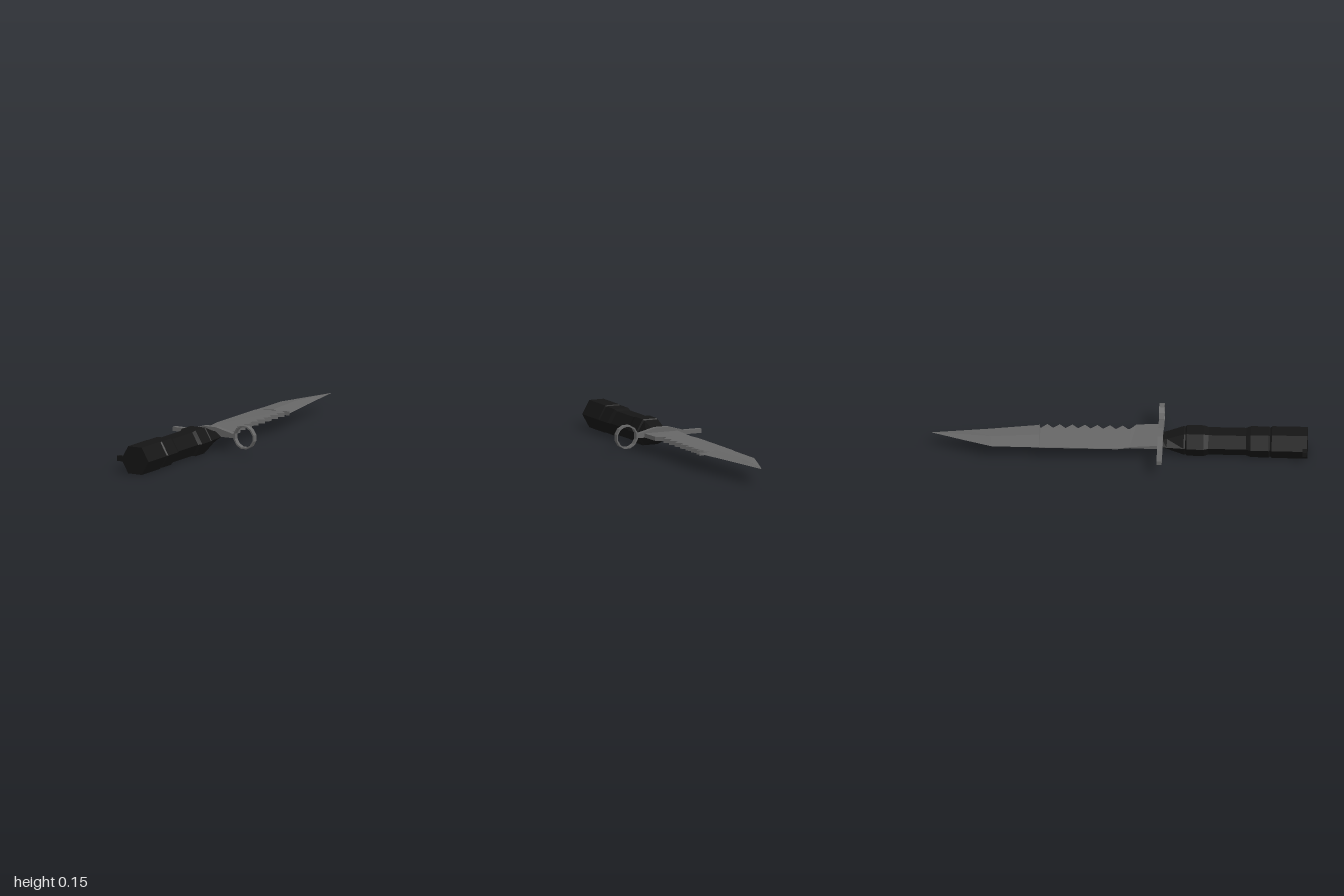
import * as THREE from 'three';

const steel = new THREE.MeshStandardMaterial({ color: 0x666666, flatShading: true });
const black = new THREE.MeshStandardMaterial({ color: 0x151515, flatShading: true });

// Skin over rings of [x, y, z] points; rings advance along +z, points run counter-clockwise seen from +z
function loft(rings) {
  const n = rings[0].length, last = (rings.length - 1) * n, index = [];
  for (let i = 0; i < rings.length - 1; i++) {
    for (let j = 0; j < n; j++) {
      const a = i * n + j, b = i * n + (j + 1) % n;
      index.push(a, b, b + n, a, b + n, a + n);
    }
  }
  for (let j = 1; j < n - 1; j++) index.push(0, j + 1, j, last, last + j, last + j + 1);
  const geo = new THREE.BufferGeometry();
  geo.setAttribute('position', new THREE.Float32BufferAttribute(rings.flat(2), 3));
  geo.setIndex(index);
  const flat = geo.toNonIndexed();
  flat.computeVertexNormals();
  return flat;
}

function add(parent, name, geometry, material) {
  const mesh = new THREE.Mesh(geometry, material);
  mesh.name = name;
  parent.add(mesh);
  return mesh;
}

const polygon = (points) => points.map(([x, y]) => new THREE.Vector2(x, y));

function circlePoints(cx, cy, r, n) {
  return Array.from({ length: n }, (_, i) => {
    const a = (i + 0.5) / n * Math.PI * 2;
    return new THREE.Vector2(cx + r * Math.cos(a), cy + r * Math.sin(a));
  });
}

function plate(shape, depth) {
  return new THREE.ExtrudeGeometry(shape, { depth, bevelEnabled: false }).translate(0, 0, -depth / 2);
}

const BLADE_Y = 0.086;

// Double-edged point of the blade, diamond in section: left x, z, right x, z, half thickness
function bladePoint() {
  return loft([
    [0.155, -0.998, 0.157, -0.998, 0.001],
    [0.06, -0.82, 0.157, -0.82, 0.007],
    [-0.003, -0.696, 0.157, -0.69, 0.009],
    [-0.04, -0.447, 0.163, -0.426, 0.011],
  ].map(([lx, lz, rx, rz, h]) => {
    const mx = (lx + rx) / 2, mz = (lz + rz) / 2;
    return [[rx, BLADE_Y, rz], [mx, BLADE_Y + h, mz], [lx, BLADE_Y, lz], [mx, BLADE_Y - h, mz]];
  }));
}

// Saw-backed rear of the blade, thinned towards the cutting edge
function bladeRear() {
  const outline = [[0.087, 0.205], [-0.108, 0.177], [-0.093, 0.03], [-0.098, -0.04], [-0.04, -0.447], [0.163, -0.426], [0.119, -0.422]];
  for (let i = 0; i < 7; i++) {
    const z = -0.383 + i * 0.066, x = 0.152 - i * 0.0095;
    outline.push([x, z], [x - 0.037, z + 0.026]);
  }
  outline.push([0.066, 0.055], [0.098, 0.088]);
  const geo = plate(new THREE.Shape(polygon(outline.map(([x, z]) => [x, -z]))), 2);
  geo.rotateX(-Math.PI / 2);
  const p = geo.attributes.position;
  for (let i = 0; i < p.count; i++) {
    const x = p.getX(i), z = p.getZ(i);
    const fromEdge = THREE.MathUtils.clamp((x + 0.104 + 0.1425 * z) / 0.08, 0, 1);
    const half = z > 0.1 ? 0.011 : 0.002 + 0.009 * fromEdge;
    p.setY(i, BLADE_Y + Math.sign(p.getY(i)) * half);
  }
  geo.computeVertexNormals();
  return geo;
}

// Hexagonal handle: distance from guard, half width, half height
function handle() {
  return loft([
    [0.01, 0.07, 0.025], [0.035, 0.072, 0.032],
    [0.125, 0.079, 0.066], [0.133, 0.075, 0.063], [0.14, 0.084, 0.07],
    [0.23, 0.084, 0.07], [0.255, 0.074, 0.063],
    [0.455, 0.074, 0.063], [0.48, 0.084, 0.071],
    [0.575, 0.084, 0.071], [0.583, 0.077, 0.066], [0.592, 0.084, 0.0735],
    [0.78, 0.084, 0.0735],
  ].map(([z, w, h]) => Array.from({ length: 6 }, (_, i) => {
    const a = i * Math.PI / 3;
    return [-0.022 + w * Math.cos(a), 0.0735 + h * Math.sin(a) / Math.sin(Math.PI / 3), z];
  })));
}

export function createModel() {
  const model = new THREE.Group();
  model.name = 'bayonet';

  const blade = new THREE.Group();
  blade.name = 'blade';
  model.add(blade);
  add(blade, 'bladePoint', bladePoint(), steel);
  add(blade, 'sawBackedBlade', bladeRear(), steel);

  // Guard and handle share the slightly turned axis of the weapon
  const hilt = new THREE.Group();
  hilt.name = 'hilt';
  hilt.position.set(0, 0, 0.205);
  hilt.rotation.y = -0.142;
  model.add(hilt);

  // Crossguard with a raised middle
  const bar = new THREE.Shape(polygon([
    [-0.252, 0.074], [0.127, 0.074], [0.127, 0.096], [0.015, 0.122], [-0.06, 0.122], [-0.15, 0.096], [-0.252, 0.096],
  ]));
  add(hilt, 'crossguard', plate(bar, 0.028), steel);

  // Muzzle ring
  const ring = new THREE.Shape(circlePoints(0.187, 0.0845, 0.0645, 12));
  ring.holes.push(new THREE.Path(circlePoints(0.187, 0.0845, 0.056, 12)));
  add(hilt, 'muzzleRing', plate(ring, 0.028), steel);

  add(hilt, 'handle', handle(), black);

  // Latch stub at the end of the pommel
  add(hilt, 'latch', new THREE.BoxGeometry(0.07, 0.028, 0.022), black).position.set(-0.098, 0.074, 0.768);

  return model;
}
